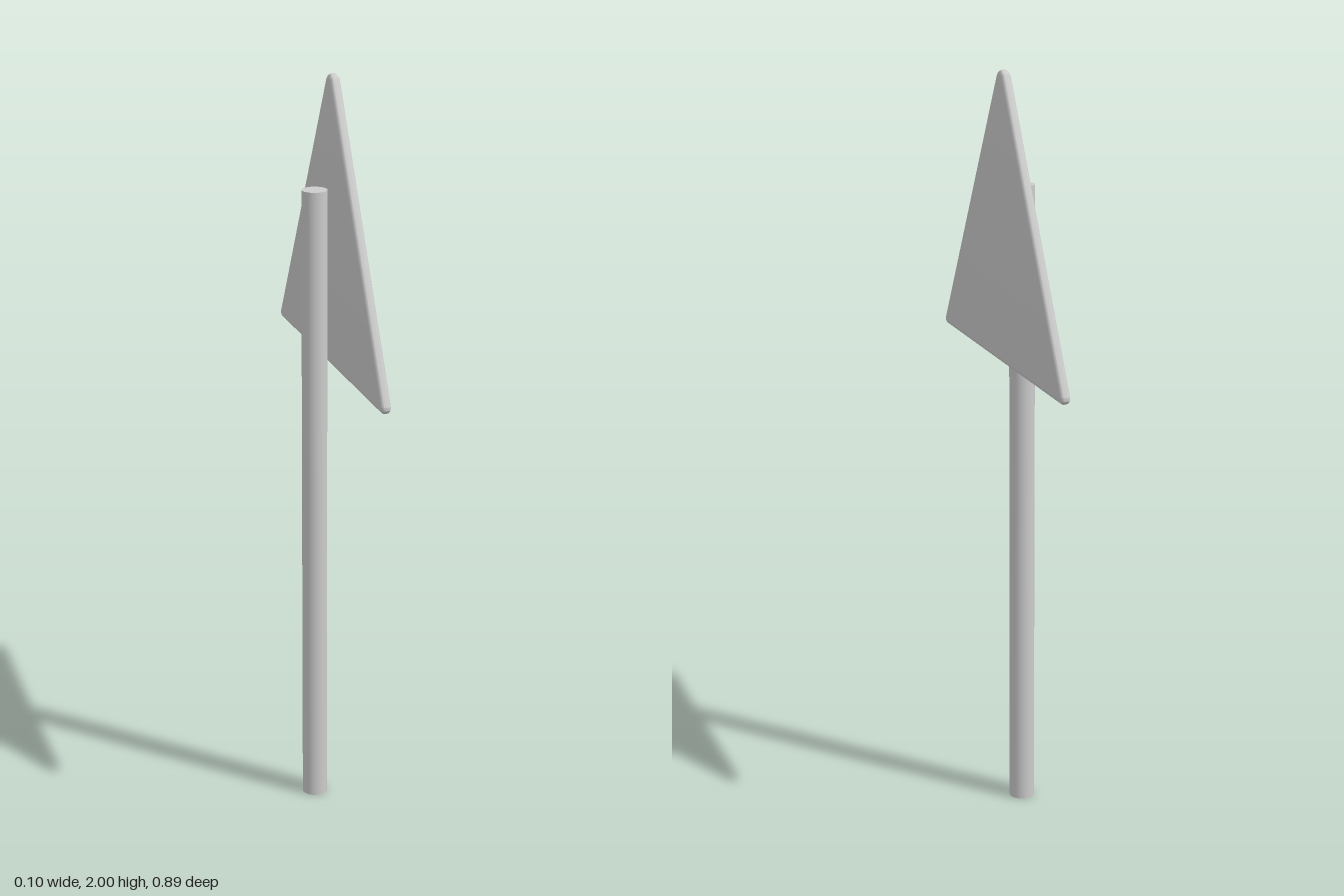
import * as THREE from 'three';
import { toCreasedNormals } from 'three/addons/utils/BufferGeometryUtils.js';

const material = new THREE.MeshStandardMaterial({ color: 0xcccccc });

// Triangle with rounded corners, drawn as three arcs joined by straight sides
function roundedTriangle() {
  const rad = THREE.MathUtils.degToRad;
  const corners = [
    [0.43, 1.255, 0.002, -90],
    [0, 1.97, 0.017, 30],
    [-0.43, 1.255, 0.002, 150],
  ];
  const shape = new THREE.Shape();
  for (const [x, y, r, start] of corners) {
    shape.absarc(x, y, r, rad(start), rad(start + 120), false);
  }
  shape.closePath();
  return shape;
}

export function createModel() {
  const group = new THREE.Group();
  group.name = 'triangularRoadSign';

  // Round post
  const height = 1.705;
  const post = new THREE.Mesh(new THREE.CylinderGeometry(0.0335, 0.0335, height, 32), material);
  post.name = 'post';
  post.position.set(-0.0155, height / 2, 0);
  group.add(post);

  // Sign plate with a rounded rim, facing +x
  const depth = 0.005, bevel = 0.011;
  const plateGeometry = new THREE.ExtrudeGeometry(roundedTriangle(), {
    depth, bevelThickness: bevel, bevelSize: 0.013, bevelSegments: 4, curveSegments: 8,
  });
  plateGeometry.translate(0, 0, -depth / 2);
  plateGeometry.rotateY(Math.PI / 2);
  const plate = new THREE.Mesh(toCreasedNormals(plateGeometry, 0.5), material);
  plate.name = 'signPlate';
  plate.position.x = 0.034;
  group.add(plate);

  return group;
}
